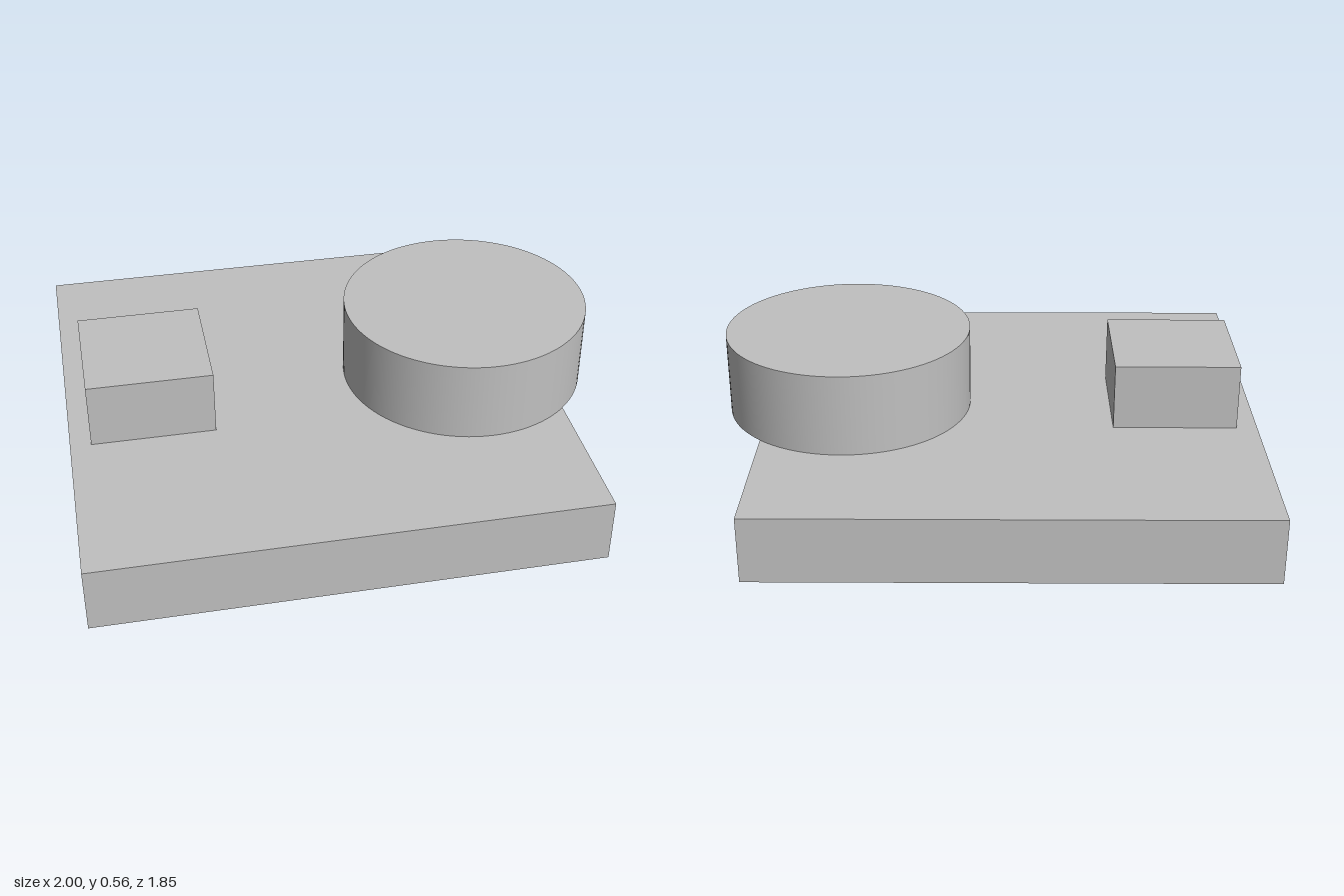
import * as THREE from 'three';

export function createModel() {
  const model = new THREE.Group();
  const grey = new THREE.MeshStandardMaterial({ color: 0xc0c0c0 });
  grey.name = 'light grey';

  const baseHeight = 0.247;

  // Adds a named part with its underside at the given height
  const add = (name, geometry, height, x, bottom) => {
    const mesh = new THREE.Mesh(geometry, grey);
    mesh.name = name;
    mesh.position.set(x, bottom + height / 2, 0);
    model.add(mesh);
  };

  // Square slab
  add('basePlate', new THREE.BoxGeometry(1.846, baseHeight, 1.846), baseHeight, -0.077, 0);

  // Square block near the right edge
  add('squareBlock', new THREE.BoxGeometry(0.4615, 0.248, 0.4615), 0.248, -0.692, baseHeight);

  // Round disc overhanging the left edge
  add('roundDisc', new THREE.CylinderGeometry(0.4615, 0.4615, 0.309, 96), 0.309, 0.5385, baseHeight);

  return model;
}
